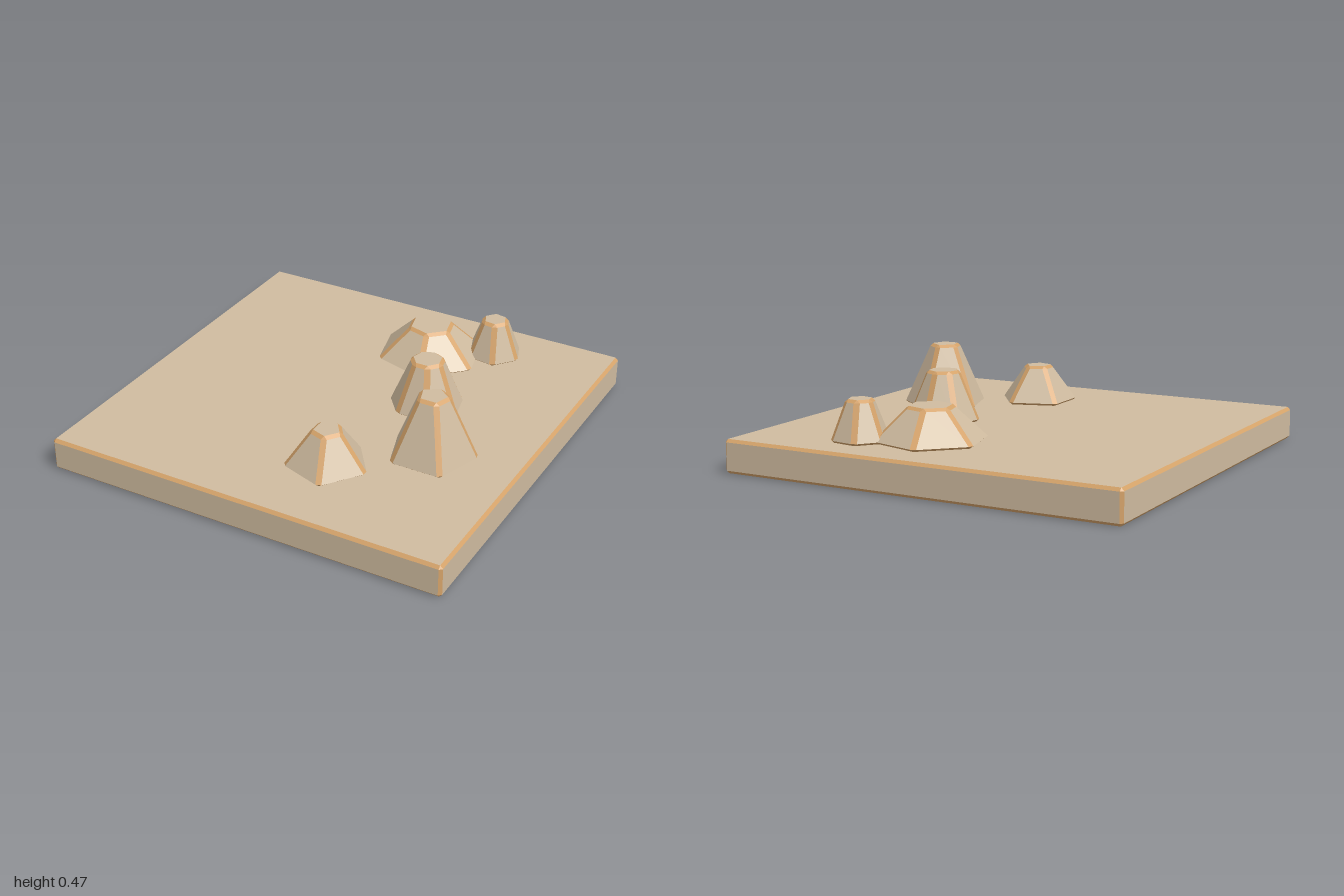
import * as THREE from 'three';

// Bevelled prism or frustum: wide faces use material 0, bevels use material 1.
function bevelledBlock({ sides, base, top, y0, y1, turn, bevel, drop }) {
  const faces = [], edges = [];
  const corner = (i, r, y) => {
    const a = turn + (i / sides) * Math.PI * 2;
    return new THREE.Vector3(Math.cos(a) * r, y, Math.sin(a) * r);
  };
  const add = (list, ...p) => {
    for (let i = 1; i < p.length - 1; i++) {
      for (const v of [p[0], p[i], p[i + 1]]) list.push(v.x, v.y, v.z);
    }
  };
  // Point a bevel's width away from corner i, towards its neighbour
  const cut = (i, step, r, y) => {
    const p = corner(i, r, y);
    const dir = corner(i + step, r, y).sub(p).normalize();
    return p.addScaledVector(dir, bevel);
  };
  const inset = bevel / Math.cos(Math.PI / sides);
  const lowY = y0 + drop, highY = y1 - drop;
  const topCap = [], bottomCap = [];

  for (let i = 0; i < sides; i++) {
    const bL = cut(i, -1, base, lowY), bR = cut(i, 1, base, lowY);
    const tL = cut(i, -1, top, highY), tR = cut(i, 1, top, highY);
    const bNext = cut(i + 1, -1, base, lowY), tNext = cut(i + 1, -1, top, highY);
    const capT = corner(i, top - inset, y1), capTNext = corner(i + 1, top - inset, y1);
    const capB = corner(i, base - inset, y0), capBNext = corner(i + 1, base - inset, y0);
    add(faces, bR, tR, tNext, bNext);            // wall
    add(edges, bL, tL, tR, bR);                  // upright bevel
    add(edges, tR, capT, capTNext, tNext);       // top bevel
    add(edges, tL, capT, tR);
    add(edges, capB, bR, bNext, capBNext);       // bottom bevel
    add(edges, capB, bL, bR);
    topCap.unshift(capT);
    bottomCap.push(capB);
  }
  add(faces, ...topCap);
  add(faces, ...bottomCap);

  const geo = new THREE.BufferGeometry();
  geo.setAttribute('position', new THREE.Float32BufferAttribute([...faces, ...edges], 3));
  geo.addGroup(0, faces.length / 3, 0);
  geo.addGroup(faces.length / 3, edges.length / 3, 1);
  geo.computeVertexNormals();
  return geo;
}

export function createModel() {
  const model = new THREE.Group();
  model.name = 'rockyTile';

  const stone = new THREE.MeshStandardMaterial({ color: 0xcfbb9f });
  stone.name = 'pale stone';
  const edge = new THREE.MeshStandardMaterial({ color: 0xd4a269 });
  edge.name = 'ochre edge';

  const addBlock = (name, x, z, options) => {
    const mesh = new THREE.Mesh(bevelledBlock(options), [stone, edge]);
    mesh.name = name;
    mesh.position.set(x, 0, z);
    model.add(mesh);
  };

  // Square ground slab
  addBlock('groundSlab', 0, 0, {
    sides: 4, base: Math.SQRT2, top: Math.SQRT2, y0: 0, y1: 0.16,
    turn: Math.PI / 4, bevel: 0.014, drop: 0.014,
  });

  // Rocks: name, x, z, sides, base radius, top radius, top height, turn in degrees
  const rocks = [
    ['wideRock', 0.155, -0.575, 6, 0.27, 0.122, 0.325, 16],
    ['smallRock', 0.435, -0.727, 6, 0.143, 0.075, 0.355, 9],
    ['middleRock', 0.36, -0.127, 7, 0.18, 0.088, 0.405, -90],
    ['tallRock', 0.58, 0.254, 5, 0.216, 0.086, 0.468, -90],
    ['frontRock', 0.208, 0.557, 5, 0.202, 0.084, 0.345, 0],
  ];
  for (const [name, x, z, sides, base, top, y1, degrees] of rocks) {
    addBlock(name, x, z, {
      sides, base, top, y0: 0.158, y1,
      turn: THREE.MathUtils.degToRad(degrees), bevel: 0.017, drop: 0.013,
    });
  }
  return model;
}
